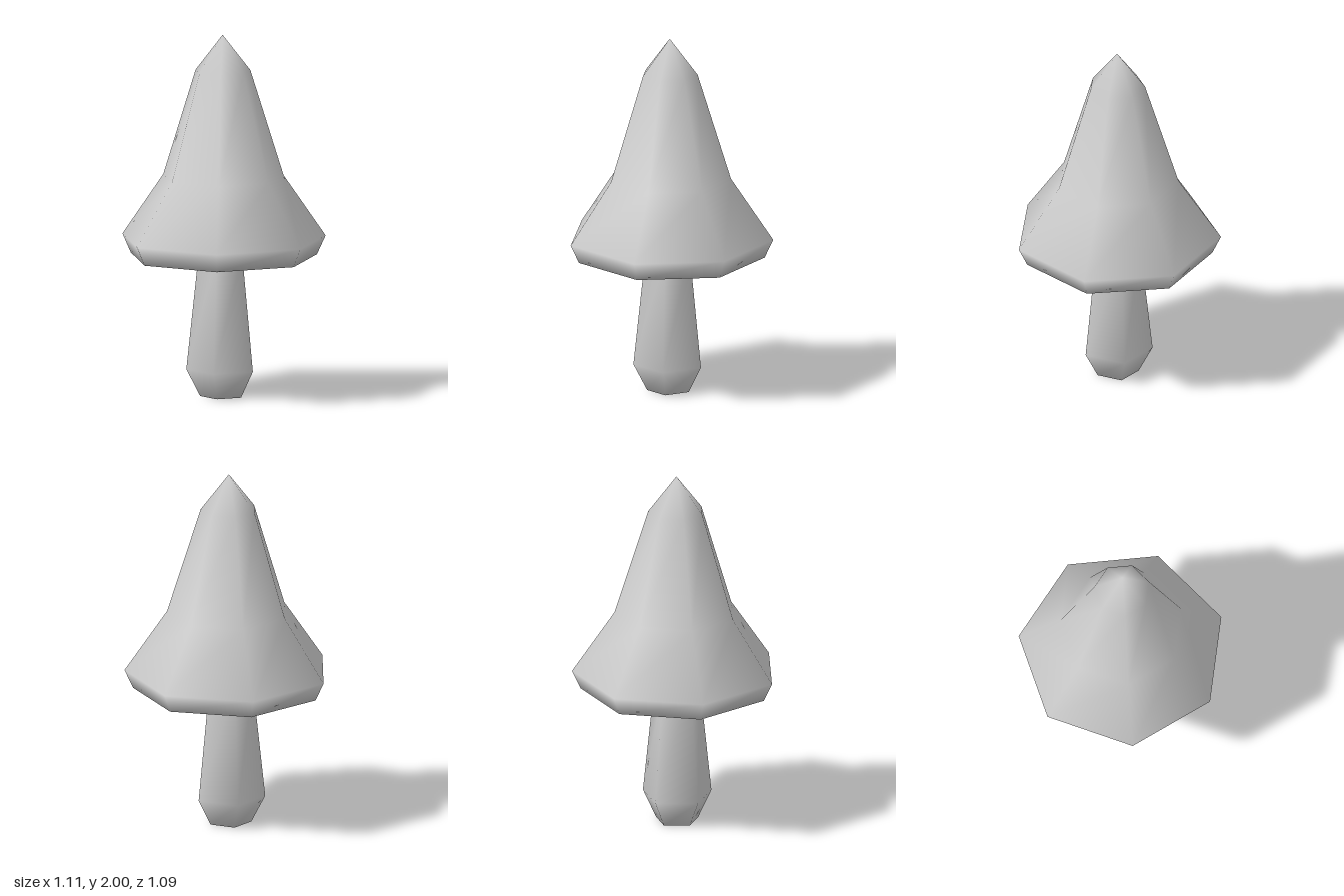
import * as THREE from 'three';

// Lofts a smooth low-poly solid from [radius, y] rings, listed bottom to top.
// Radius 0 in the last ring makes a single apex; the base is closed flat.
function loft(sides, rings) {
  const positions = [], index = [];
  for (const [radius, y] of rings) {
    const count = radius === 0 ? 1 : sides;
    for (let i = 0; i < count; i++) {
      const a = (i / sides) * Math.PI * 2; // first corner points to the back
      positions.push(radius * Math.sin(a), y, -radius * Math.cos(a));
    }
  }
  for (let i = 1; i < sides - 1; i++) index.push(0, i, i + 1);
  for (let r = 0; r < rings.length - 1; r++) {
    const low = r * sides, high = low + sides;
    for (let i = 0; i < sides; i++) {
      const j = (i + 1) % sides;
      if (rings[r + 1][0] === 0) index.push(low + i, high, low + j);
      else index.push(low + i, high + i, low + j, low + j, high + i, high + j);
    }
  }
  const geometry = new THREE.BufferGeometry();
  geometry.setAttribute('position', new THREE.Float32BufferAttribute(positions, 3));
  geometry.setIndex(index);
  geometry.computeVertexNormals();
  return geometry;
}

export function createModel() {
  const group = new THREE.Group();
  group.name = 'mushroom';
  const grey = new THREE.MeshStandardMaterial({ color: 0xcccccc });
  grey.name = 'light grey';

  // Seven-sided bell cap with a pointed tip
  const cap = new THREE.Mesh(
    loft(7, [[0.523, 0.77], [0.571, 0.873], [0.338, 1.213], [0.154, 1.8], [0, 2]]), grey);
  cap.name = 'cap';
  cap.position.z = 0.026;

  // Five-sided stem, bulging near the foot and reaching just inside the cap
  const stem = new THREE.Mesh(
    loft(5, [[0.121, 0], [0.197, 0.15], [0.128, 0.8]]), grey);
  stem.name = 'stem';
  stem.position.set(-0.003, 0, 0.028);

  group.add(cap, stem);
  return group;
}
